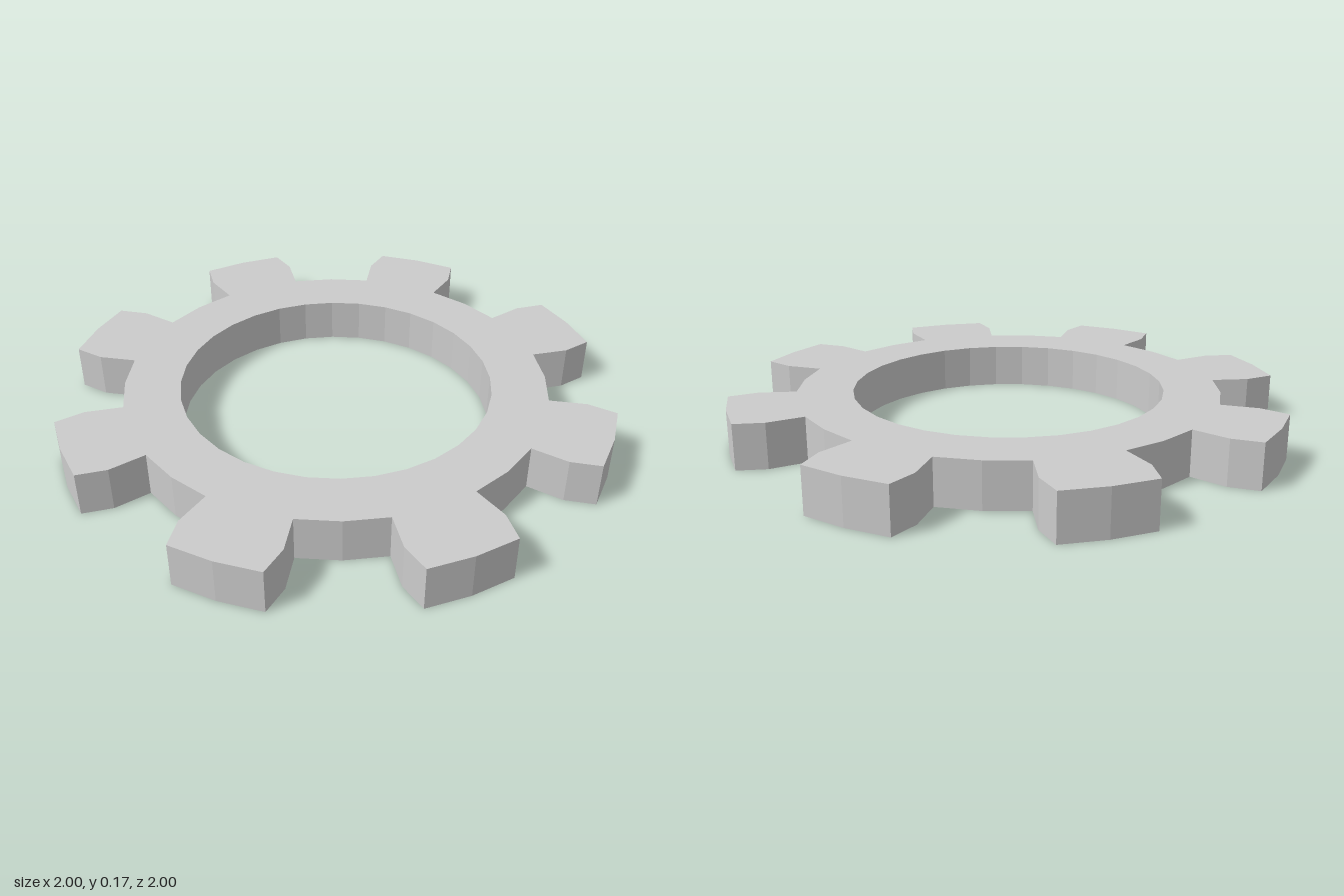
import * as THREE from 'three';

const TEETH = 8;
const HEIGHT = 0.167;
const ROOT_R = 0.785, FLANK_R = 0.923, TIP_R = 1.028, BORE_R = 0.578;

const polar = (radius, degrees) => {
  const a = THREE.MathUtils.degToRad(degrees);
  return new THREE.Vector2(radius * Math.cos(a), radius * Math.sin(a));
};

export function createModel() {
  const group = new THREE.Group();
  group.name = 'gear';

  // One tooth and the valley after it: [radius, angle from tooth centre]
  const toothProfile = [
    [ROOT_R, -11.15], [FLANK_R, -11.15], [TIP_R, -9], [TIP_R, 0],
    [TIP_R, 9], [FLANK_R, 11.15], [ROOT_R, 11.15], [ROOT_R, 22.5],
  ];

  // Toothed outline, repeated around the axis
  const outline = [];
  for (let i = 0; i < TEETH; i++) {
    const centre = (i + 0.5) * 360 / TEETH;
    for (const [r, offset] of toothProfile) outline.push(polar(r, centre + offset));
  }
  const shape = new THREE.Shape(outline);

  // Round bore with 32 sides
  const bore = [];
  for (let i = 0; i < 32; i++) bore.push(polar(BORE_R, -i * 360 / 32));
  shape.holes.push(new THREE.Path(bore));

  // Extrude and lay flat on the ground
  const geometry = new THREE.ExtrudeGeometry(shape, { depth: HEIGHT, bevelEnabled: false });
  geometry.rotateX(-Math.PI / 2);

  const gear = new THREE.Mesh(
    geometry,
    new THREE.MeshStandardMaterial({ color: 0xcccccc, flatShading: true })
  );
  gear.name = 'toothedRing';
  group.add(gear);
  return group;
}
